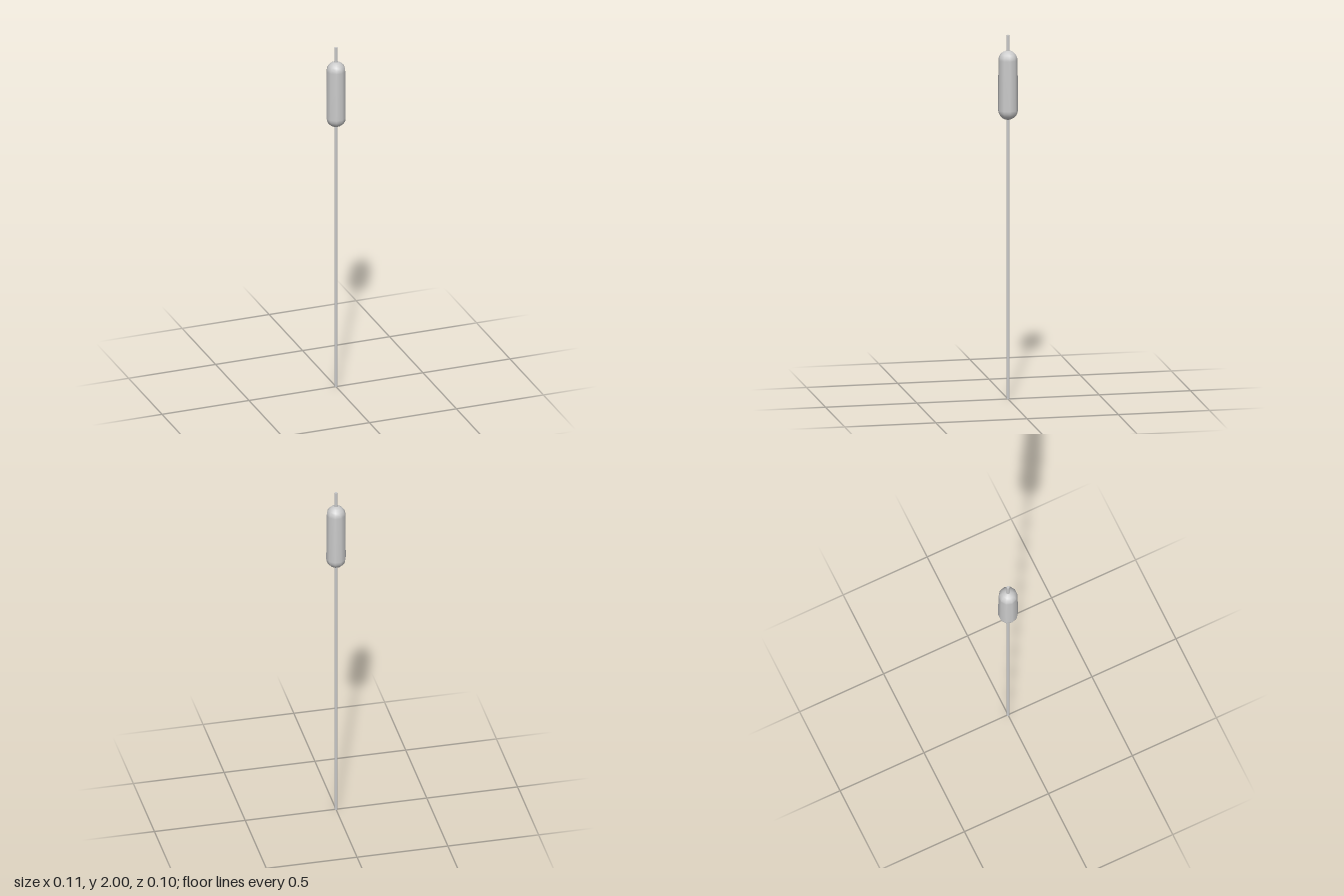
import * as THREE from 'three';

export function createModel() {
  const group = new THREE.Group();
  const material = new THREE.MeshStandardMaterial({ color: 0xcccccc });

  // Thin straight stem running through the whole plant
  const stem = new THREE.Mesh(new THREE.CylinderGeometry(0.008, 0.008, 2, 10), material);
  stem.name = 'stem';
  stem.position.y = 1;
  group.add(stem);

  // Ten-sided seed head: slightly tapered body with rounded ends
  const bottom = 1.535, top = 1.915, rBottom = 0.054, rTop = 0.052, steps = 5;
  const profile = [];
  for (let i = 0; i <= steps; i++) {
    const a = (i / steps) * Math.PI / 2;
    profile.push(new THREE.Vector2(rBottom * Math.sin(a), bottom + rBottom * (1 - Math.cos(a))));
  }
  for (let i = steps; i >= 0; i--) {
    const a = (i / steps) * Math.PI / 2;
    profile.push(new THREE.Vector2(rTop * Math.sin(a), top - rTop * (1 - Math.cos(a))));
  }
  const head = new THREE.Mesh(new THREE.LatheGeometry(profile, 10, Math.PI / 2), material);
  head.name = 'seedHead';
  group.add(head);

  return group;
}
